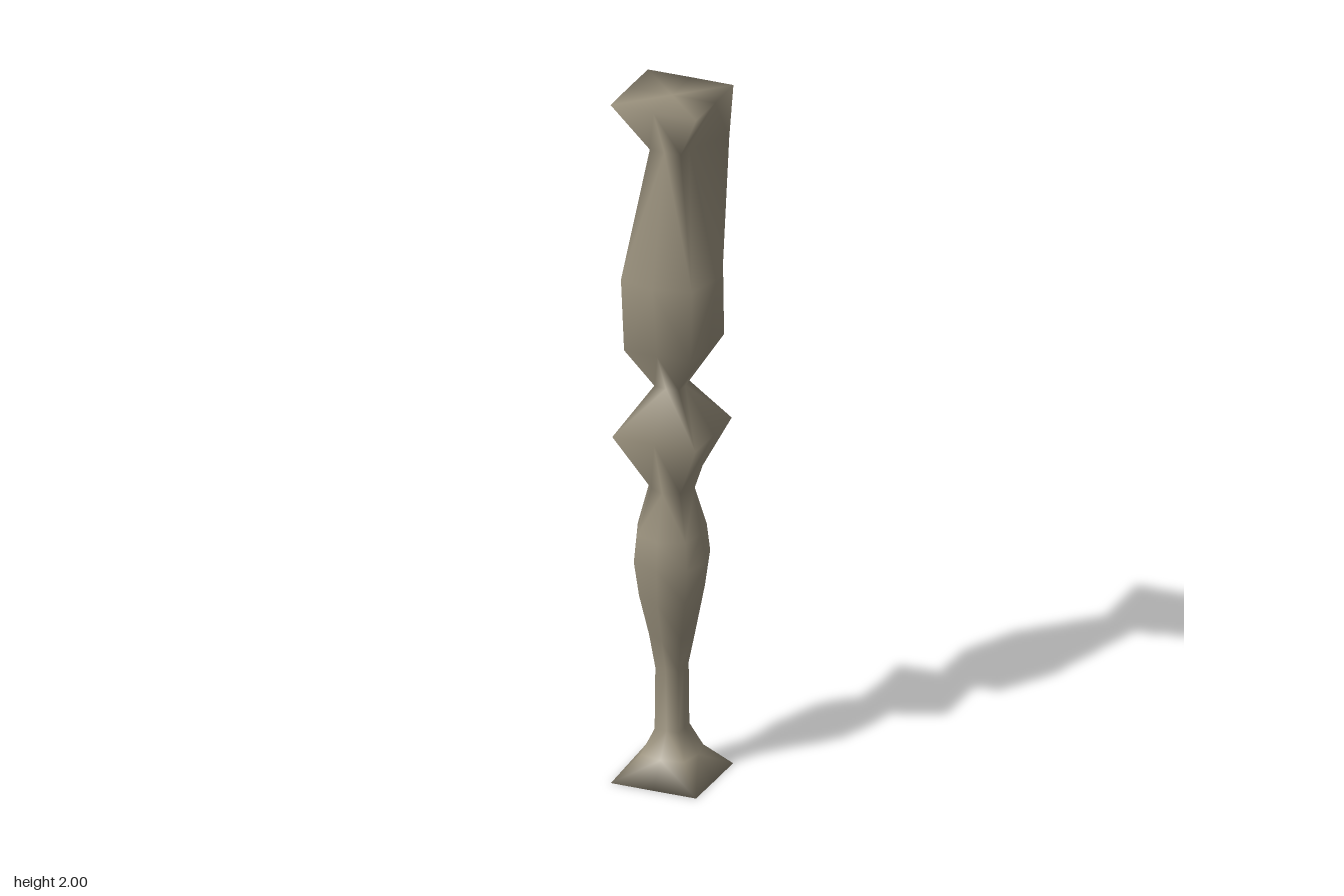
import * as THREE from 'three';

// Cross-sections: y, then reach toward +x, +z, -x, -z, the three plain corners, and the ribbed corner (+x -z)
const SECTIONS = [
  [0, 0.125, 0.125, 0.125, 0.125, 0.176, 0.176],
  [0.07, 0.077, 0.077, 0.077, 0.077, 0.09, 0.09],
  [0.14, 0.037, 0.037, 0.04, 0.037, 0.05, 0.05],
  [0.32, 0.035, 0.042, 0.04, 0.035, 0.048, 0.048],
  [0.42, 0.066, 0.07, 0.056, 0.055, 0.066, 0.066],
  [0.54, 0.09, 0.1, 0.093, 0.082, 0.095, 0.095],
  [0.64, 0.104, 0.104, 0.102, 0.104, 0.11, 0.11],
  [0.72, 0.085, 0.1, 0.1, 0.08, 0.1, 0.1],
  [0.85, 0.065, 0.065, 0.065, 0.06, 0.06, 0.06],
  [1.02, 0.122, 0.122, 0.122, 0.122, 0.172, 0.172],
  [1.15, 0.04, 0.04, 0.04, 0.04, 0.05, 0.05],
  [1.27, 0.108, 0.1, 0.1, 0.11, 0.138, 0.15],
  [1.48, 0.13, 0.13, 0.13, 0.13, 0.147, 0.147],
  [1.85, 0.05, 0.05, 0.05, 0.05, 0.064, 0.165],
  [2, 0.126, 0.126, 0.126, 0.126, 0.177, 0.177],
];

// Lofts an eight-sided closed skin through the sections
function loftGeometry() {
  const n = 8;
  const position = [];
  const index = [];
  for (const [y, px, pz, nx, nz, corner, rib] of SECTIONS) {
    [px, corner, pz, corner, nx, corner, nz, rib].forEach((r, i) => {
      const a = (i / n) * Math.PI * 2;
      position.push(r * Math.cos(a), y, r * Math.sin(a));
    });
  }
  const last = (SECTIONS.length - 1) * n;
  const bottom = last + n;
  const top = bottom + 1;
  position.push(0, 0, 0, 0, 2, 0);
  for (let i = 0; i < n; i++) {
    const j = (i + 1) % n;
    for (let row = 0; row < last; row += n) {
      const a = row + i, b = row + j, c = a + n, d = b + n;
      // Mirror the diagonal on alternate sides so each corner reads the same
      if (i % 2) index.push(a, c, d, a, d, b);
      else index.push(a, c, b, b, c, d);
    }
    index.push(bottom, i, j, top, last + j, last + i);
  }
  const geometry = new THREE.BufferGeometry();
  geometry.setAttribute('position', new THREE.Float32BufferAttribute(position, 3));
  geometry.setIndex(index);
  geometry.computeVertexNormals();
  return geometry;
}

export function createModel() {
  const model = new THREE.Group();
  model.name = 'baluster';
  const stone = new THREE.MeshStandardMaterial({ color: 0x9b927e });
  stone.name = 'weathered stone';
  const post = new THREE.Mesh(loftGeometry(), stone);
  post.name = 'turnedPost';
  model.add(post);
  return model;
}
